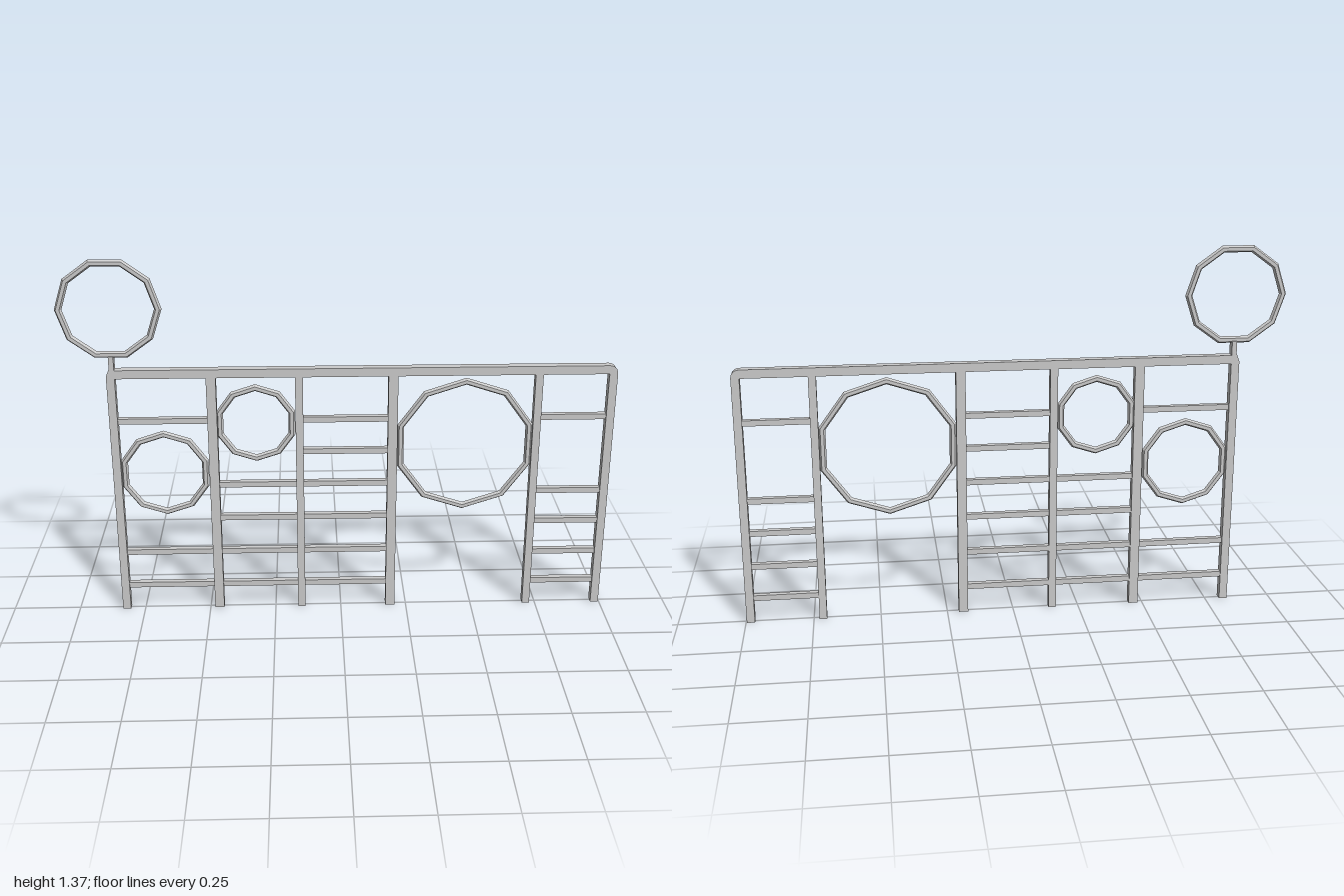
import * as THREE from 'three';

const DEPTH = 0.032;

export function createModel() {
  const group = new THREE.Group();
  const material = new THREE.MeshStandardMaterial({ color: 0xcccccc, flatShading: true });

  const add = (name, geometry, x = 0, y = 0, z = 0) => {
    const mesh = new THREE.Mesh(geometry, material);
    mesh.name = name;
    mesh.position.set(x, y, z);
    group.add(mesh);
    return mesh;
  };
  const extrude = (name, shape) => add(name,
    new THREE.ExtrudeGeometry(shape, { depth: DEPTH, bevelEnabled: false, curveSegments: 3 }), 0, 0, -DEPTH / 2);

  // Left post, narrowing into the stem that carries the high ring
  extrude('leftPostWithStem', new THREE.Shape([
    [-0.835, 0], [-0.805, 0], [-0.805, 1.02], [-0.823, 1.02], [-0.823, 0.975], [-0.835, 0.945],
  ].map(([x, y]) => new THREE.Vector2(x, y))));

  // Top rail turning down into the right post through a rounded corner
  const frame = new THREE.Shape();
  frame.moveTo(-0.815, 0.936);
  frame.lineTo(0.967, 0.936);
  frame.lineTo(0.967, 0);
  frame.lineTo(0.997, 0);
  frame.lineTo(0.997, 0.938);
  frame.absarc(0.967, 0.938, 0.03, 0, Math.PI / 2, false);
  frame.lineTo(-0.815, 0.968);
  extrude('topRailAndRightPost', frame);

  // Inner posts: [x, width]
  for (const [x, width] of [[-0.465, 0.035], [-0.15, 0.028], [0.189, 0.035], [0.715, 0.028]]) {
    add('innerPost', new THREE.BoxGeometry(width, 0.945, DEPTH), x, 0.4725, 0);
  }

  // Ladder rungs per bay: [left x, right x, heights]
  const bays = [
    [-0.82, -0.465, [0.10, 0.24, 0.77]],
    [-0.465, -0.15, [0.10, 0.24, 0.38, 0.515]],
    [-0.15, 0.189, [0.10, 0.24, 0.38, 0.515, 0.645, 0.77]],
    [0.715, 0.982, [0.095, 0.22, 0.35, 0.475, 0.77]],
  ];
  for (const [x0, x1, heights] of bays) {
    for (const y of heights) {
      add('rung', new THREE.BoxGeometry(x1 - x0, 0.021, 0.021), (x0 + x1) / 2, y, 0);
    }
  }

  // Ten-sided rings: [name, x, y, outer radius, turn]
  const tube = 0.013;
  const rings = [
    ['highRing', -0.813, 1.19, 0.187, 0],
    ['lowRing', -0.645, 0.562, 0.168, Math.PI / 10],
    ['smallRing', -0.308, 0.756, 0.15, Math.PI / 10],
    ['largeRing', 0.454, 0.662, 0.26, Math.PI / 10],
  ];
  for (const [name, x, y, radius, turn] of rings) {
    add(name, new THREE.TorusGeometry(radius - tube, tube, 6, 10), x, y, 0).rotation.z = turn;
  }

  return group;
}
